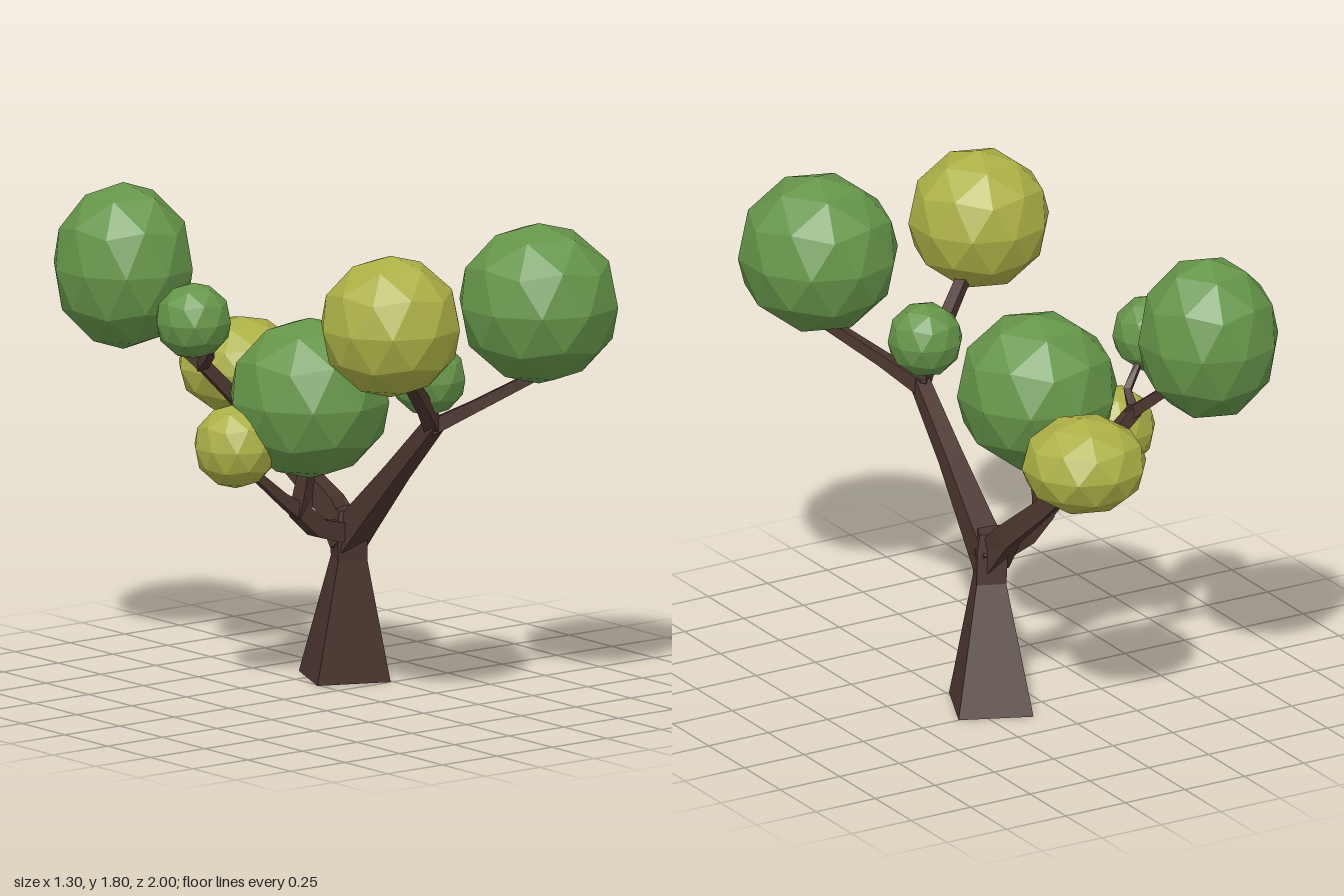
import * as THREE from 'three';

const material = (color) => new THREE.MeshStandardMaterial({ color, flatShading: true, roughness: 0.9 });

// Four-sided limb through stations [x, y, z, halfWidth]; ref sets the roll of its section.
function limbGeometry(stations, ref, level = false) {
  const pts = stations.map((s) => new THREE.Vector3(s[0], s[1], s[2]));
  const pos = [];
  const index = [];
  pts.forEach((p, i) => {
    const t = level
      ? new THREE.Vector3(0, 1, 0)
      : pts[Math.min(i + 1, pts.length - 1)].clone().sub(pts[Math.max(i - 1, 0)]).normalize();
    const u = new THREE.Vector3().crossVectors(ref, t).normalize();
    const v = new THREE.Vector3().crossVectors(t, u);
    for (const [a, b] of [[-1, -1], [1, -1], [1, 1], [-1, 1]]) {
      const c = p.clone().addScaledVector(u, a * stations[i][3]).addScaledVector(v, b * stations[i][3]);
      pos.push(c.x, c.y, c.z);
    }
  });
  for (let i = 0; i < pts.length - 1; i++) {
    for (let k = 0; k < 4; k++) {
      const a = i * 4 + k, b = i * 4 + ((k + 1) % 4);
      index.push(a, b, b + 4, a, b + 4, a + 4);
    }
  }
  // end caps
  const e = (pts.length - 1) * 4;
  index.push(0, 2, 1, 0, 3, 2, e, e + 1, e + 2, e, e + 2, e + 3);
  const g = new THREE.BufferGeometry();
  g.setAttribute('position', new THREE.Float32BufferAttribute(pos, 3));
  g.setIndex(index);
  const flat = g.toNonIndexed();
  flat.computeVertexNormals();
  return flat;
}

export function createModel() {
  const tree = new THREE.Group();
  tree.name = 'tree';
  const bark = material(0x4b352f);
  const green = material(0x659549);
  const yellow = material(0xabb045);
  const up = new THREE.Vector3(0, 1, 0);

  const addLimb = (name, stations, ref = up, level = false) => {
    const mesh = new THREE.Mesh(limbGeometry(stations, ref, level), bark);
    mesh.name = name;
    tree.add(mesh);
  };

  // Trunk: square, flared at the foot and turned about the vertical
  addLimb('trunk', [
    [0.17, 0.005, -0.18, 0.136],
    [0.135, 0.46, -0.11, 0.054],
    [0.125, 0.57, -0.1, 0.056],
    [0.125, 0.645, -0.1, 0.045],
  ], new THREE.Vector3(0.11, 0, -0.25), true);

  // Front branch with its fork
  addLimb('frontBranch', [
    [0.125, 0.53, -0.11, 0.055], [0.125, 0.62, -0.02, 0.048],
    [0.115, 0.83, 0.2, 0.035], [0.11, 1.05, 0.43, 0.028],
  ]);
  addLimb('frontLeftTwig', [[0.11, 1.03, 0.41, 0.028], [0.2, 1.11, 0.53, 0.022], [0.37, 1.25, 0.72, 0.018]]);
  addLimb('frontRightTwig', [[0.115, 1.03, 0.41, 0.028], [0.03, 1.12, 0.47, 0.024], [-0.2, 1.34, 0.61, 0.02]]);
  addLimb('frontSpur', [[0.11, 1.02, 0.41, 0.02], [0.1, 1.14, 0.4, 0.015]]);

  // Back branch, rising to two forks
  addLimb('backBranch', [
    [0.125, 0.53, -0.1, 0.052], [0.11, 0.65, -0.19, 0.042],
    [0.045, 0.79, -0.33, 0.034], [-0.02, 0.93, -0.455, 0.028],
  ]);
  addLimb('backLeftTwig', [[-0.03, 0.91, -0.44, 0.028], [0.05, 1.0, -0.6, 0.02]]);
  addLimb('backRightBranch', [[-0.01, 0.91, -0.44, 0.027], [-0.12, 1.03, -0.46, 0.024], [-0.25, 1.17, -0.49, 0.022]]);
  addLimb('backTopTwig', [[-0.235, 1.15, -0.475, 0.022], [-0.36, 1.32, -0.65, 0.016]]);
  addLimb('backInnerTwig', [[-0.245, 1.15, -0.49, 0.019], [-0.27, 1.21, -0.4, 0.013], [-0.37, 1.31, -0.34, 0.01]]);

  // Low side branch with its fork
  addLimb('sideBranch', [
    [0.14, 0.56, -0.1, 0.04], [0.06, 0.57, -0.09, 0.036],
    [-0.03, 0.595, -0.085, 0.034], [-0.12, 0.67, -0.08, 0.03],
  ]);
  addLimb('sideOuterTwig', [[-0.1, 0.655, -0.08, 0.029], [-0.2, 0.73, -0.085, 0.02], [-0.36, 0.87, -0.095, 0.014]]);
  addLimb('sideInnerTwig', [[-0.11, 0.65, -0.08, 0.03], [-0.11, 0.72, -0.07, 0.026], [-0.1, 0.88, -0.04, 0.022]]);

  // Foliage: faceted balls with a corner pointing straight up
  const ball = new THREE.IcosahedronGeometry(1, 1);
  ball.rotateZ(-Math.atan(2 / (1 + Math.sqrt(5))));
  const foliage = [
    ['frontLeftFoliage', green, [0.37, 1.5, 0.7], [0.295, 0.295, 0.3]],
    ['frontRightFoliage', yellow, [-0.3, 1.5, 0.69], [0.26, 0.26, 0.26]],
    ['frontSmallFoliage', green, [0.1, 1.21, 0.4], [0.138, 0.138, 0.138]],
    ['centreFoliage', green, [-0.13, 1.1, 0], [0.295, 0.295, 0.3]],
    ['sideFoliage', yellow, [-0.39, 0.94, -0.1], [0.155, 0.155, 0.155]],
    ['backLeftFoliage', yellow, [0.075, 1.085, -0.67], [0.23, 0.177, 0.23]],
    ['backRightFoliage', green, [-0.405, 1.5, -0.74], [0.258, 0.307, 0.263]],
    ['backSmallFoliage', green, [-0.42, 1.37, -0.31], [0.14, 0.14, 0.14]],
  ];
  for (const [name, mat, at, size] of foliage) {
    const mesh = new THREE.Mesh(ball, mat);
    mesh.name = name;
    mesh.position.set(...at);
    mesh.scale.set(...size);
    tree.add(mesh);
  }
  return tree;
}
